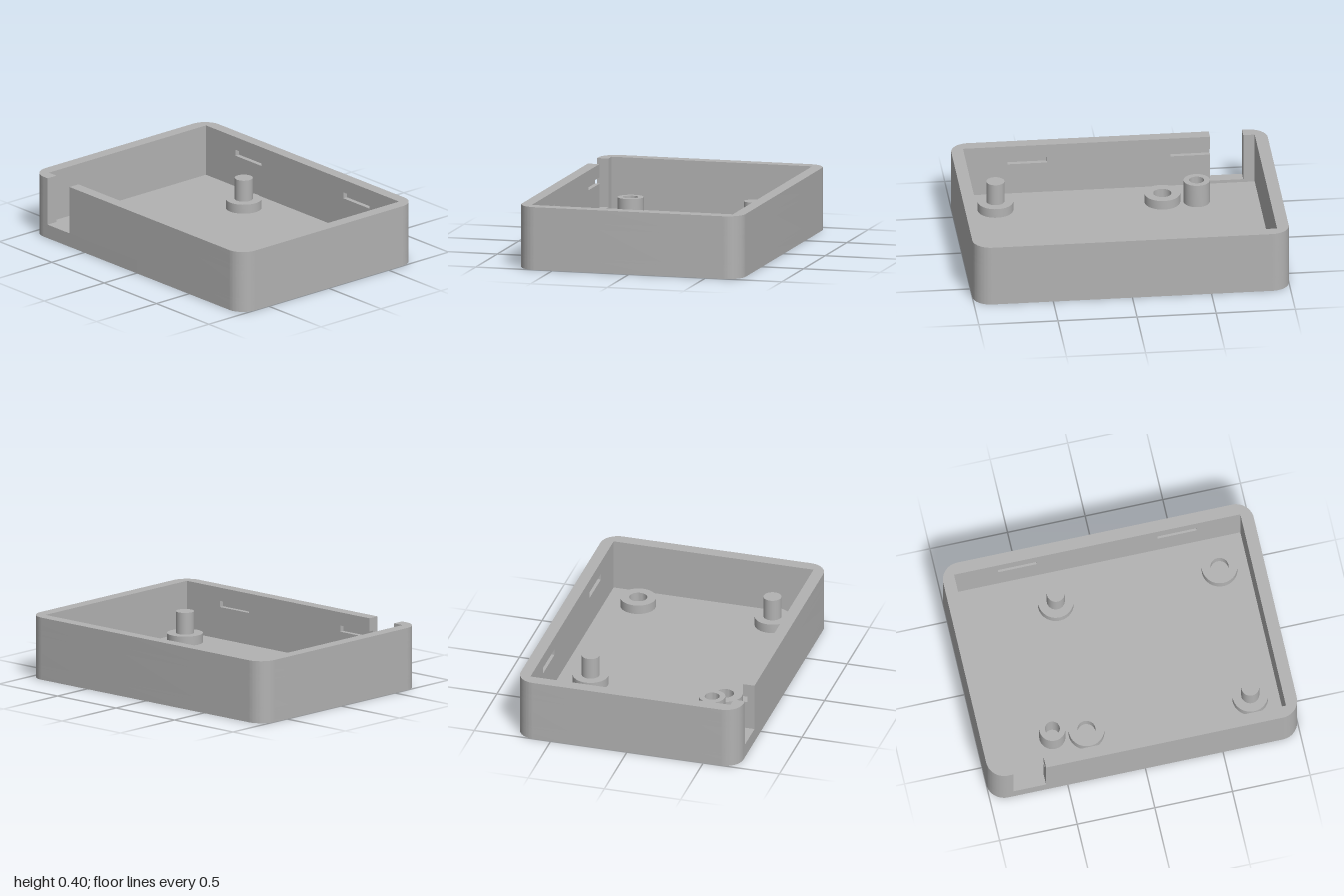
import * as THREE from 'three';
import { toCreasedNormals } from 'three/addons/utils/BufferGeometryUtils.js';

const W = 1, D = 0.73, R = 0.115;        // outer half width, half depth, corner radius
const w = 0.922, d = 0.655;              // inner half width, half depth
const NOTCH = [-0.85, -0.64];            // x range of the front cut-out
const SLOT = [0.39, 0.64], POCKET = 0.03; // clip slot x range and depth
const FLOOR = 0.07, SILL = 0.09, SLOT_LOW = 0.275, SLOT_HIGH = 0.315, TOP = 0.4;

// Outer rounded outline, anticlockwise from startX to endX on the front edge
function outline(startX, endX) {
  const s = new THREE.Shape();
  s.moveTo(startX, -D);
  s.lineTo(W - R, -D);
  s.absarc(W - R, -D + R, R, -Math.PI / 2, 0);
  s.lineTo(W, D - R);
  s.absarc(W - R, D - R, R, 0, Math.PI / 2);
  s.lineTo(-W + R, D);
  s.absarc(-W + R, D - R, R, Math.PI / 2, Math.PI);
  s.lineTo(-W, -D + R);
  s.absarc(-W + R, -D + R, R, Math.PI, Math.PI * 1.5);
  s.lineTo(endX, -D);
  return s;
}

// Wall outline broken by the notch, with or without clip pockets inside
function notchedWall(pockets) {
  const s = outline(NOTCH[1], NOTCH[0]);
  const [a, b] = SLOT, e = d + POCKET;
  const points = [[NOTCH[0], -d], [-w, -d], [-w, d]];
  if (pockets) {
    for (const [x0, x1] of [[-b, -a], [a, b]]) points.push([x0, d], [x0, e], [x1, e], [x1, d]);
  }
  points.push([w, d], [w, -d]);
  if (pockets) {
    points.push([b, -d], [b, -e], [a, -e], [a, -d]);
    points.push([-a, -d], [-a, -e], [NOTCH[1], -e]); // this pocket opens into the notch
  } else {
    points.push([NOTCH[1], -d]);
  }
  points.forEach(([x, y]) => s.lineTo(x, y));
  s.closePath();
  return s;
}

// Upright slab of a plan shape between two heights
function slab(shape, y0, y1) {
  const g = new THREE.ExtrudeGeometry(shape, { depth: y1 - y0, bevelEnabled: false, curveSegments: 12 });
  g.rotateX(-Math.PI / 2);
  g.translate(0, y0, 0);
  return toCreasedNormals(g, 0.5);
}

// Hollow round post standing on the floor
function tube(outer, inner, top) {
  const profile = [[outer, FLOOR], [outer, top], [inner, top], [inner, FLOOR]];
  const g = new THREE.LatheGeometry(profile.map(([x, y]) => new THREE.Vector2(x, y)), 40);
  return toCreasedNormals(g, 0.5);
}

export function createModel() {
  const model = new THREE.Group();
  model.name = 'enclosureTray';
  const grey = new THREE.MeshStandardMaterial({ color: 0xb2b2b2 });
  grey.name = 'grey plastic';

  const add = (name, geometry, x = 0, z = 0) => {
    const mesh = new THREE.Mesh(geometry, grey);
    mesh.name = name;
    mesh.position.set(x, 0, z);
    model.add(mesh);
  };

  // Floor and the full wall ring below the notch
  const full = outline(0, -0.5);
  add('floor', slab(full, 0, FLOOR));
  const ring = outline(0, -0.5);
  ring.holes.push(new THREE.Path([[-w, -d], [-w, d], [w, d], [w, -d]].map(([x, y]) => new THREE.Vector2(x, y))));
  add('wallBase', slab(ring, FLOOR, SILL));

  // Walls with the notch, and clip pockets in a thin band
  add('wallLower', slab(notchedWall(false), SILL, SLOT_LOW));
  add('wallClipBand', slab(notchedWall(true), SLOT_LOW, SLOT_HIGH));
  add('wallUpper', slab(notchedWall(false), SLOT_HIGH, TOP));

  // Four standoffs; two opposite ones carry locating pins, the others are hollow
  const pinHeight = 0.27 - FLOOR;
  for (const [x, z, hasPin] of [[-0.315, -0.44, true], [0.74, -0.44, false], [-0.315, 0.44, false], [0.74, 0.44, true]]) {
    add('standoff', tube(0.113, 0.057, 0.13), x, z);
    if (hasPin) {
      const pin = new THREE.CylinderGeometry(0.057, 0.057, pinHeight, 40);
      pin.translate(0, FLOOR + pinHeight / 2, 0);
      add('locatingPin', pin, x, z);
    }
  }

  // Taller screw post near the notch
  add('screwPost', tube(0.083, 0.047, 0.22), -0.53, 0.42);

  return model;
}
